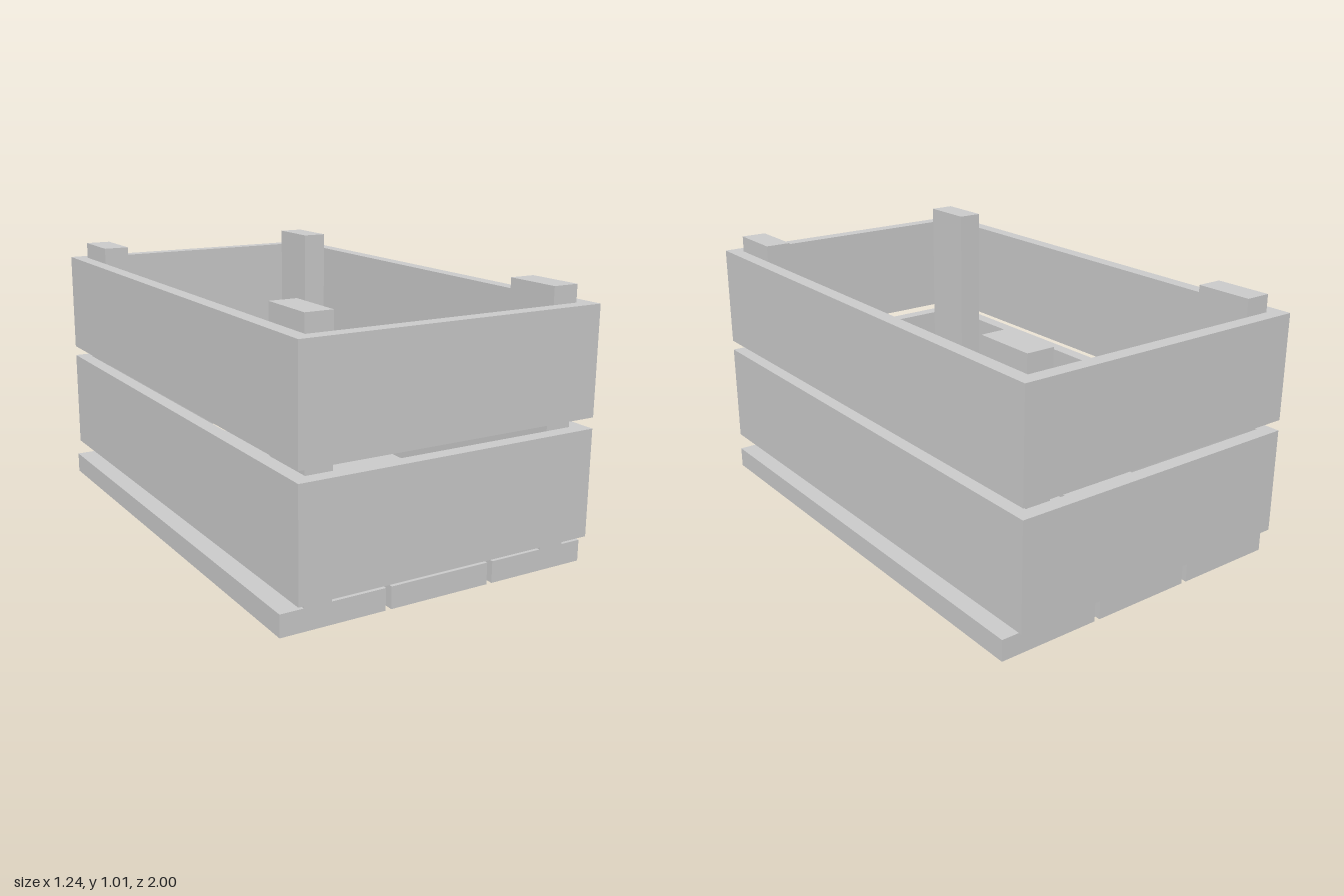
import * as THREE from 'three';

export function createModel() {
  const crate = new THREE.Group();
  crate.name = 'crate';
  const wood = new THREE.MeshStandardMaterial({ color: 0xcccccc, flatShading: true });

  // One plank, given by its size and the centre of its underside
  function plank(name, w, h, d, x, y, z) {
    const mesh = new THREE.Mesh(new THREE.BoxGeometry(w, h, d), wood);
    mesh.name = name;
    mesh.position.set(x, y + h / 2, z);
    crate.add(mesh);
  }

  const halfX = 0.581, halfZ = 0.995; // outside of the walls
  const thick = 0.054;
  const innerX = halfX - thick, innerZ = halfZ - thick;

  // Three floor boards with narrow gaps
  for (const i of [-1, 0, 1]) plank('floorBoard', 0.393, 0.08, 1.87, i * 0.415 - 0.002, 0, 0);

  // Two rows of wall boards; the end boards cover the ends of the side boards
  for (const y of [0.12, 0.555]) {
    for (const s of [-1, 1]) {
      plank('endBoard', 2 * halfX, 0.395, thick, 0, y, s * (halfZ - thick / 2));
      plank('sideBoard', thick, 0.395, 2 * innerZ, s * (halfX - thick / 2), y, 0);
    }
  }

  // Corner posts, standing on the floor inside the walls
  const postX = 0.1, postZ = 0.221;
  for (const sx of [-1, 1])
    for (const sz of [-1, 1])
      plank('cornerPost', postX, 0.933, postZ, sx * (innerX - postX / 2), 0.08, sz * (innerZ - 0.004 - postZ / 2));

  // The whole crate stands very slightly turned
  crate.rotation.y = -0.0085;
  const model = new THREE.Group();
  model.add(crate);
  return model;
}
